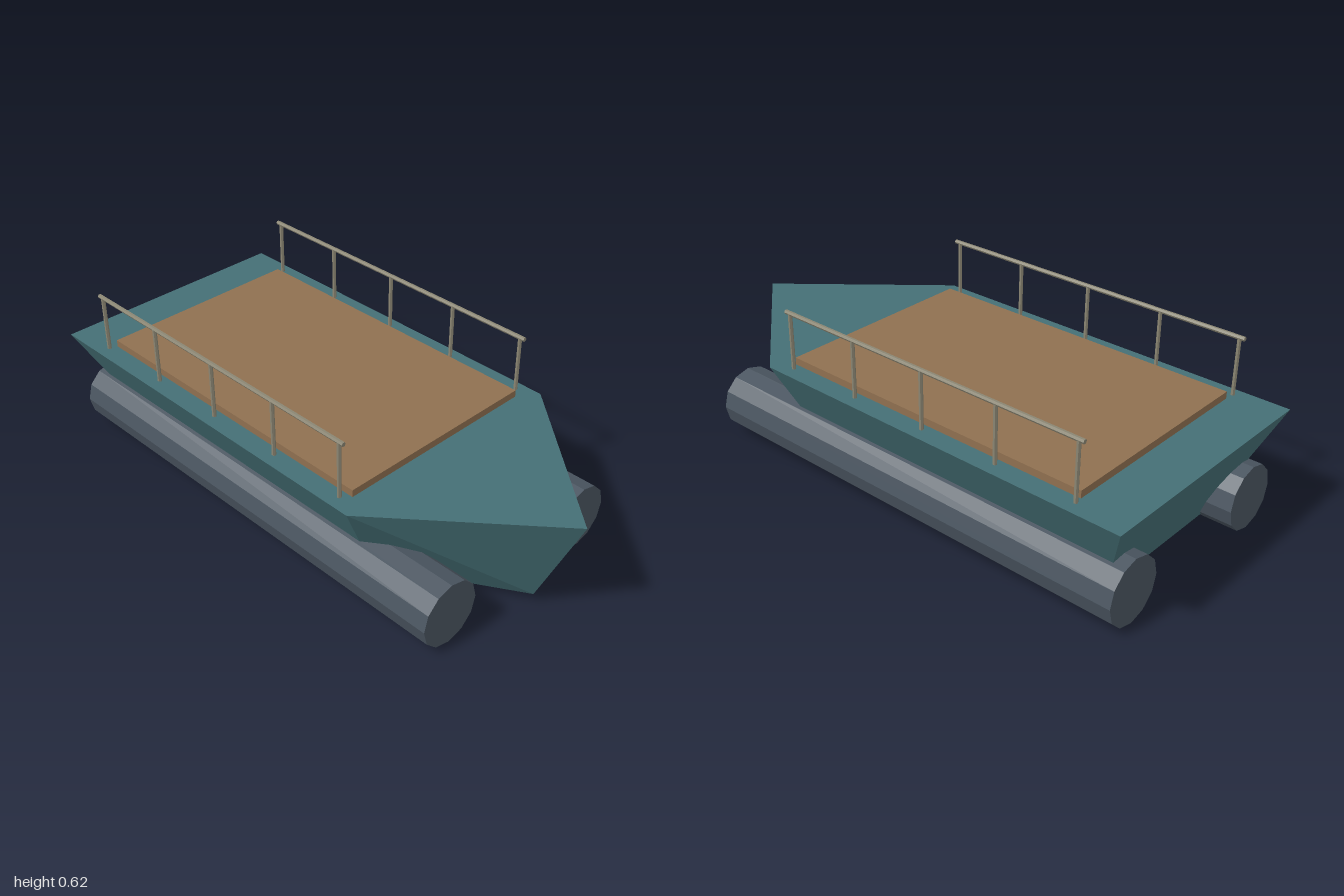
import * as THREE from 'three';

const material = (color) => new THREE.MeshStandardMaterial({ color, flatShading: true });
const hullPaint = material(0x456f75);
const deckWood = material(0x8f7050);
const floatGrey = material(0x4a5560);
const railMetal = material(0x8a8572);

const HULL_BOTTOM = 0.03, HULL_TOP = 0.4;

function part(name, geometry, mat, x = 0, y = 0, z = 0) {
  const mesh = new THREE.Mesh(geometry, mat);
  mesh.name = name;
  mesh.position.set(x, y, z);
  return mesh;
}

// Pointed-bow outline extruded upward, with the bottom ring drawn inward
function hullGeometry() {
  const outline = [[0, -1], [0.465, -0.46], [0.465, 1], [-0.465, 1], [-0.465, -0.46]];
  const shape = new THREE.Shape(outline.map(([x, y]) => new THREE.Vector2(x, y)));
  const geo = new THREE.ExtrudeGeometry(shape, { depth: HULL_TOP - HULL_BOTTOM, bevelEnabled: false });
  geo.rotateX(-Math.PI / 2).translate(0, HULL_BOTTOM, 0);
  const p = geo.attributes.position;
  for (let i = 0; i < p.count; i++) {
    if (p.getY(i) < 0.2) {
      p.setX(i, p.getX(i) * 0.59);
      p.setZ(i, p.getZ(i) * 0.84);
    }
  }
  geo.computeVertexNormals();
  return geo;
}

// Five posts carrying one long handrail
function railing(name, x) {
  const group = new THREE.Group();
  group.name = name;
  const postGeo = new THREE.CylinderGeometry(0.0075, 0.0075, 0.208, 6);
  for (let i = 0; i < 5; i++) {
    group.add(part('railPost', postGeo, railMetal, x, 0.508, 0.385 - i * 0.3));
  }
  const railGeo = new THREE.CylinderGeometry(0.008, 0.008, 1.24, 6);
  railGeo.rotateY(Math.PI / 6).rotateX(Math.PI / 2);
  group.add(part('handrail', railGeo, railMetal, x, 0.612, -0.215));
  return group;
}

export function createModel() {
  const model = new THREE.Group();
  model.name = 'pontoonBoat';

  model.add(part('hull', hullGeometry(), hullPaint));
  model.add(part('deck', new THREE.BoxGeometry(0.78, 0.03, 1.22), deckWood, 0, 0.411, -0.2));

  // Twelve-sided floats and railings on both sides
  const floatGeo = new THREE.CylinderGeometry(0.117, 0.117, 1.74, 12).rotateX(Math.PI / 2);
  for (const [side, s] of [['left', 1], ['right', -1]]) {
    model.add(part(side + 'Float', floatGeo, floatGrey, s * 0.327, 0.117, -0.1));
    model.add(railing(side + 'Railing', s * 0.421));
  }
  return model;
}
